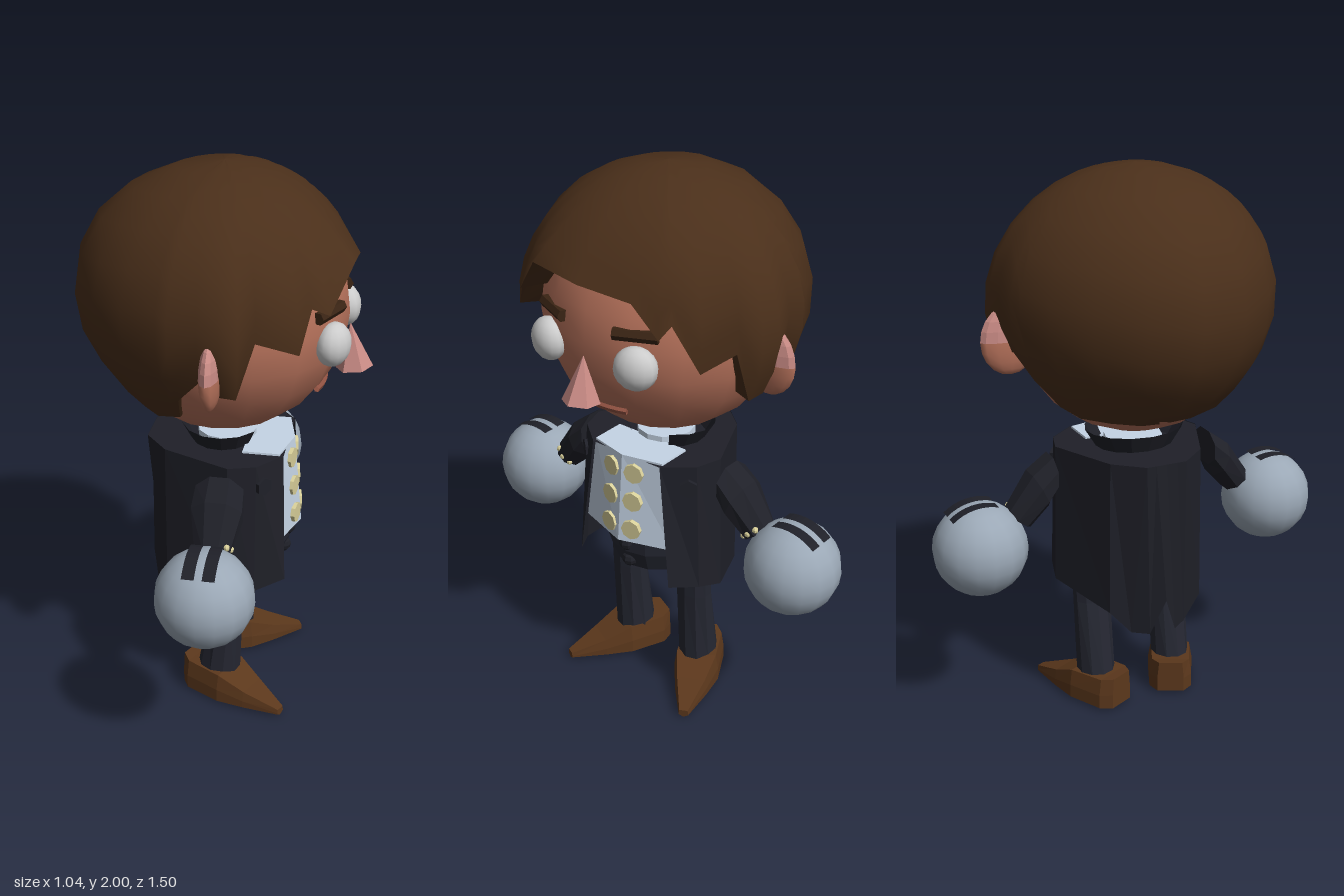
import * as THREE from 'three';

const mat = (color, flatShading = true) =>
  new THREE.MeshStandardMaterial({ color, flatShading, side: THREE.DoubleSide });
const M = {
  skin: mat(0xb8735c, false), pink: mat(0xc98b85), hair: mat(0x4a2f1a, false), brow: mat(0x3a2414),
  lip: mat(0x8e5040), eye: mat(0xcccccc, false), coat: mat(0x1f2028), trousers: mat(0x252732),
  vest: mat(0xc6d5e6), gold: mat(0xd9d09a), glove: mat(0x9ba8b6, false), shoe: mat(0x5c381c),
};

// Skin over a list of rings, each an array of [x, y, z]
function loft(rings, closed = true) {
  const n = rings[0].length, idx = [];
  for (let i = 0; i < rings.length - 1; i++)
    for (let j = 0; j < (closed ? n : n - 1); j++) {
      const k = (j + 1) % n, a = i * n + j, b = i * n + k, c = b + n, d = a + n;
      idx.push(a, d, c, a, c, b);
    }
  const g = new THREE.BufferGeometry();
  g.setAttribute('position', new THREE.Float32BufferAttribute(rings.flat(2), 3));
  g.setIndex(idx);
  g.computeVertexNormals();
  return g;
}

// Ring collapsed to one point, used to close the end of a loft
const cap = (n, point) => Array.from({ length: n }, () => point);

// Adds the mirror image of a half outline running from front to back
const mirrored = (half) => [...half, ...half.slice().reverse().filter((p) => p[0] !== 0).map(([x, y, z]) => [-x, y, z])];

// Jagged hem of the hair: [azimuth from the front in degrees, height, radius]
const HEM = [
  [-180, 1.15, 0.24], [-160, 1.16, 0.27], [-140, 1.18, 0.31], [-122, 1.19, 0.33], [-106, 1.21, 0.33], [-101, 1.31, 0.41],
  [-90, 1.4, 0.45], [-82, 1.35, 0.445], [-75, 1.34, 0.445], [-68, 1.54, 0.47], [-52, 1.495, 0.505], [-45, 1.63, 0.48],
  [-38, 1.6, 0.5], [-22, 1.74, 0.49], [0, 1.71, 0.455], [24, 1.68, 0.45], [35, 1.57, 0.47], [40, 1.62, 0.47],
  [51, 1.45, 0.47], [66, 1.5, 0.47], [74, 1.31, 0.45], [82, 1.32, 0.45], [90, 1.4, 0.45], [101, 1.31, 0.41],
  [106, 1.21, 0.33], [122, 1.19, 0.33], [140, 1.18, 0.31], [160, 1.16, 0.27],
];

function hairRings() {
  const rings = [], rows = 9;
  for (let i = 0; i <= rows; i++) {
    const t = i / rows;
    rings.push(HEM.map(([deg, y, r]) => {
      const az = deg * Math.PI / 180, s = Math.sin(az), c = Math.cos(az);
      const end = Math.asin((y - 1.57) / 0.43), e = Math.PI / 2 + (end - Math.PI / 2) * t;
      // round in front, slightly angular towards the back
      const p = c > 0 ? 2 : 1.8;
      const full = (Math.abs(s / 0.495) ** p + Math.abs(c / (c > 0 ? 0.45 : 0.52)) ** p) ** (-1 / p);
      // the nape eases to its hem late, the fringe flares early
      const rad = full * Math.cos(e) + (r - full * Math.cos(end)) * t ** (y < 1.3 ? 7 : 3);
      return [rad * s, 1.57 + 0.43 * Math.sin(e), rad * c];
    }));
  }
  return rings;
}

export function createModel() {
  const root = new THREE.Group(), body = new THREE.Group();
  body.name = 'figure';
  body.rotation.y = Math.PI / 2; // built facing +z, turned to face +x
  root.add(body);
  const add = (name, geo, material, pos = [0, 0, 0], rot = [0, 0, 0], scale = [1, 1, 1]) => {
    const m = new THREE.Mesh(geo, material);
    m.name = name;
    m.position.set(...pos);
    m.rotation.set(...rot);
    m.scale.set(...scale);
    body.add(m);
  };

  // Head and hair
  add('head', new THREE.SphereGeometry(0.43, 16, 12), M.skin, [0, 1.5, 0]);
  const rings = hairRings();
  add('hair', loft(rings), M.hair);
  const hem = rings[rings.length - 1];
  const inner = hem.map(([x, y, z]) => {
    const k = (Math.sqrt(0.43 ** 2 - (y - 1.5) ** 2) - 0.03) / Math.hypot(x, z);
    return [x * k, y + 0.01, z * k];
  });
  add('hairUnderside', loft([hem, inner]), M.hair);

  // Face
  const nose = new THREE.ConeGeometry(0.065, 0.16, 6);
  nose.translate(0, 0.08, 0);
  add('nose', nose, M.pink, [0, 1.302, 0.452], [-0.12, 0, 0]);
  const lips = new THREE.QuadraticBezierCurve3(
    new THREE.Vector3(-0.095, 1.247, 0.335), new THREE.Vector3(0, 1.247, 0.368), new THREE.Vector3(0.095, 1.247, 0.335));
  add('mouth', new THREE.TubeGeometry(lips, 6, 0.011, 5), M.lip);

  // Coat: open at the front, widest at the arms, narrowing to split tails at the back
  const coatTop = mirrored([[0.15, 1.01, 0.235], [0.25, 1.01, 0.155], [0.28, 1.01, 0.06], [0.175, 1.01, -0.18],
    [0.075, 1.01, -0.265], [0.04, 1.01, -0.265], [0, 1.01, -0.265]]);
  const coatHem = mirrored([[0.205, 0.545, 0.255], [0.265, 0.52, 0.155], [0.29, 0.495, 0.06], [0.18, 0.44, -0.18],
    [0.105, 0.355, -0.2], [0.05, 0.355, -0.24], [0, 0.49, -0.27]]);
  add('coat', loft([coatTop, coatHem], false), M.coat);
  const shoulders = new THREE.ShapeGeometry(new THREE.Shape(coatTop.map(([x, , z]) => new THREE.Vector2(x, z))));
  add('coatShoulders', shoulders.rotateX(Math.PI / 2), M.coat, [0, 1.008, 0]);
  add('coatCollar', new THREE.CylinderGeometry(0.16, 0.125, 0.065, 12, 1, true, 0.6, Math.PI * 2 - 1.2), M.coat,
    [0, 1.04, 0], [0, 0, 0], [1.15, 1, 0.95]);
  add('shirtCollar', new THREE.CylinderGeometry(0.105, 0.105, 0.045, 12), M.vest, [0, 1.013, 0.01]);

  // Waistcoat with a centre ridge, and the rounded hips below it
  const vestRing = (y, w, ridge) => mirrored([[0, y, ridge], [w, y, 0.22], [w, y, 0.09]]);
  add('waistcoat', loft([cap(5, [0, 1.015, 0.12]), vestRing(1.015, 0.15, 0.255), vestRing(0.68, 0.2, 0.285),
    cap(5, [0, 0.68, 0.12])]), M.vest);
  const hips = [[0, 0.48], [0.11, 0.49], [0.175, 0.535], [0.2, 0.61], [0.205, 0.7]].map((p) => new THREE.Vector2(...p));
  add('hips', new THREE.LatheGeometry(hips, 16), M.trousers, [0, 0, 0.015], [0, 0, 0], [1, 1, 1.15]);
  for (const [y, z] of [[0.57, 0.22], [0.645, 0.235]])
    add('waistButton', new THREE.SphereGeometry(0.03, 8, 6), M.coat, [0, y, z]);

  for (const s of [-1, 1]) {
    // Ear, eye and brow
    const ear = [s * 0.445, 1.43, 0.037], earScale = [0.105, 0.122, 0.035];
    add('earTop', new THREE.SphereGeometry(1, 12, 5, 0, Math.PI * 2, 0, Math.PI / 2), M.pink, ear, [0, 0, 0], earScale);
    add('earLobe', new THREE.SphereGeometry(1, 12, 5, 0, Math.PI * 2, Math.PI / 2, Math.PI / 2), M.skin, ear, [0, 0, 0], earScale);
    add('eye', new THREE.SphereGeometry(0.075, 14, 10), M.eye, [s * 0.185, 1.455, 0.395], [0, s * 0.35, 0], [1, 1, 0.75]);
    add('eyebrow', new THREE.CylinderGeometry(0.022, 0.022, 0.15, 6), M.brow, [s * 0.173, 1.56, 0.378],
      [0, s * 0.42, Math.PI / 2]);

    // Waistcoat and coat buttons
    for (let i = 0; i < 3; i++)
      add('waistcoatButton', new THREE.CylinderGeometry(0.037, 0.037, 0.025, 8).rotateX(Math.PI / 2), M.gold,
        [s * 0.048, 0.955 - i * 0.11, 0.247 + i * 0.009], [0, s * 0.2, 0]);
    add('coatButton', new THREE.CylinderGeometry(0.033, 0.033, 0.02, 6).rotateX(Math.PI / 2), M.coat,
      [s * 0.232, 0.93, 0.178], [0, s * 0.68, 0]);

    // Sleeve: cut upright at the shoulder, square to the arm at the wrist
    const sleeveRing = (x, y, dx, dy, dz) => Array.from({ length: 8 }, (_, i) => {
      const a = (i + 0.5) * Math.PI / 4;
      return [s * (x + dx * Math.cos(a)), y + dy * Math.cos(a), 0.04 + dz * Math.sin(a)];
    });
    add('sleeve', loft([cap(8, [s * 0.31, 0.927, 0.04]), sleeveRing(0.31, 0.927, 0, 0.07, 0.09),
      sleeveRing(0.36, 0.875, 0.03, 0.065, 0.095), sleeveRing(0.44, 0.772, 0.045, 0.033, 0.065),
      cap(8, [s * 0.44, 0.772, 0.04])]), M.coat);

    // Cuff studs and round glove with two dark stripes
    for (let i = -1; i <= 1; i++)
      add('cuffStud', new THREE.SphereGeometry(0.012, 6, 5), M.gold,
        [s * (0.43 + i * 0.024), 0.785 + i * 0.02, 0.1 - Math.abs(i) * 0.01]);
    add('glove', new THREE.SphereGeometry(0.17, 16, 12), M.glove, [s * 0.58, 0.685, 0.04]);
    for (const d of [-0.034, 0.034]) {
      const stripe = new THREE.CylinderGeometry(0.174, 0.174, 0.042, 8, 1, true, s > 0 ? -0.33 : -0.69, 1.02);
      add('gloveStripe', stripe, M.coat, [s * 0.58, 0.685, 0.04 + d], [-Math.PI / 2, 0, 0]);
    }

    // Leg, leaning forward at the hip, and pointed shoe turned outwards
    const legRing = (y, z, rx, rz) => Array.from({ length: 10 }, (_, i) =>
      [s * 0.155 + rx * Math.sin(i * Math.PI / 5), y, z + rz * Math.cos(i * Math.PI / 5)]);
    add('leg', loft([legRing(0.56, 0.045, 0.075, 0.055), legRing(0.4, 0.04, 0.07, 0.058), legRing(0.1, 0.008, 0.07, 0.08)]),
      M.trousers);
    const sections = [[-0.12, 0.05, 0.13], [-0.08, 0.08, 0.125], [0.06, 0.085, 0.12], [0.16, 0.06, 0.075], [0.29, 0.018, 0.03]]
      .map(([z, w, h]) => [[w, 0.01, z], [-w, 0.01, z], [-w, h * 0.5, z], [-w * 0.88, h, z], [w * 0.88, h, z], [w, h * 0.5, z]]);
    add('shoe', loft([cap(6, [0, 0.06, -0.12]), ...sections, cap(6, [0, 0, 0.29])]), M.shoe,
      [s * 0.155, 0, 0], [0, s * 0.45, 0]);
  }
  return root;
}
